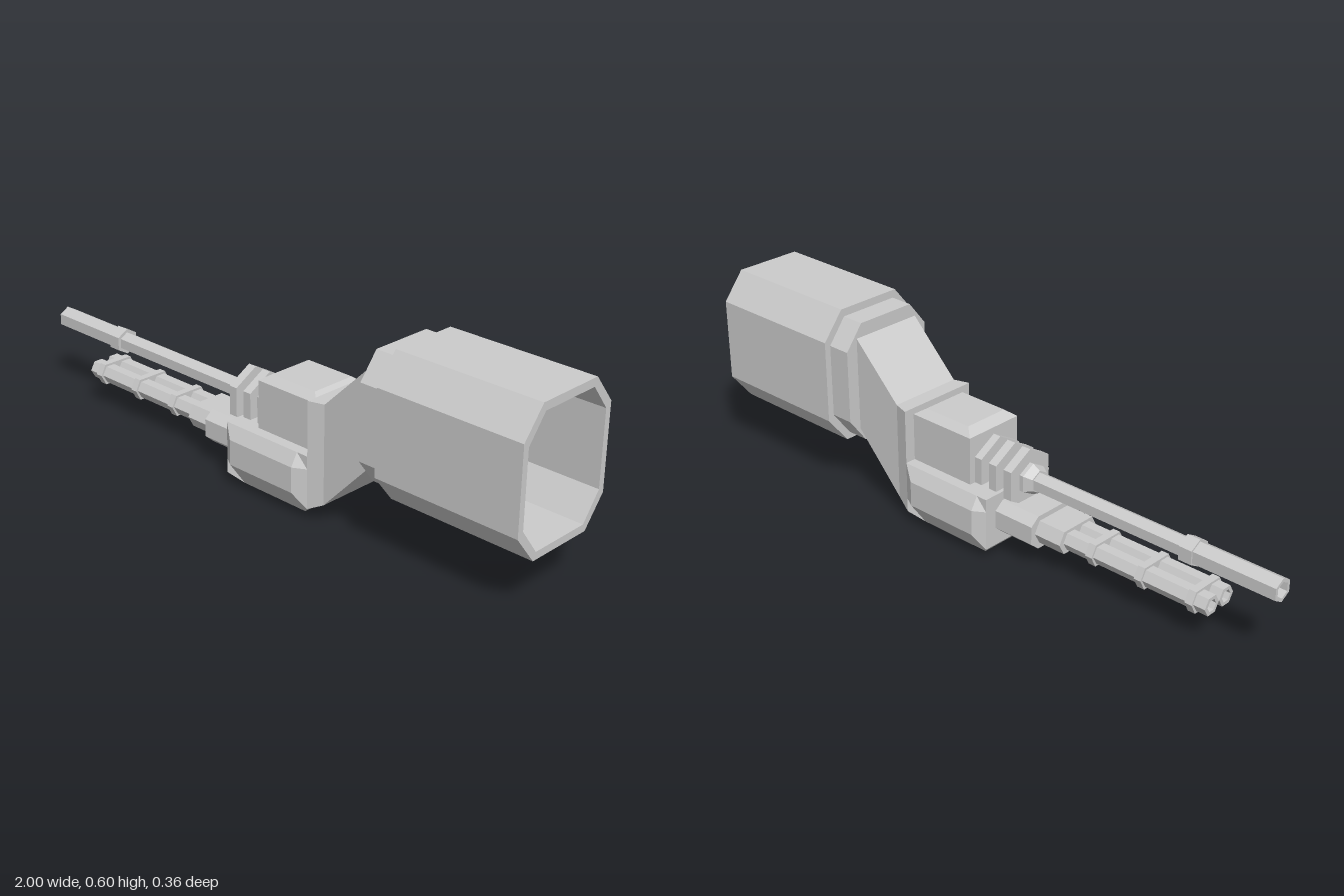
import * as THREE from 'three';

const solid = new THREE.MeshStandardMaterial({ color: 0xcccccc, flatShading: true });
const thin = new THREE.MeshStandardMaterial({ color: 0xcccccc, flatShading: true, side: THREE.DoubleSide });

// Mirrors the +z half of a cross-section, given as [z, y] from bottom to top
const sym = (half) => [...half, ...half.map(([z, y]) => [-z, y]).reverse()];

// Octagonal cross-section: half width, corner width, and four heights
const oct = (w, c, y0, y1, y2, y3) => sym([[c, y0], [w, y1], [w, y2], [c, y3]]);

// Elongated hexagon with its points to the sides
const wideHex = (w, c, h, cy) => sym([[c, cy - h], [w, cy], [c, cy + h]]);

// Regular hexagon; start is the angle of its first corner
function hex(r, cy, cz = 0, start = -Math.PI / 2) {
  return Array.from({ length: 6 }, (_, i) => {
    const a = start + (i * Math.PI) / 3;
    return [cz + r * Math.cos(a), cy + r * Math.sin(a)];
  });
}

// Skins a row of [x, section] pairs along x, closing the ends asked for
function loft(rows, capStart = true, capEnd = true) {
  const pos = [];
  const put = (row, i) => {
    const p = row[1][i % row[1].length];
    pos.push(row[0], p[1], p[0]);
  };
  const n = rows[0][1].length;
  for (let k = 0; k < rows.length - 1; k++) {
    const a = rows[k], b = rows[k + 1];
    for (let i = 0; i < n; i++) {
      put(a, i); put(b, i); put(a, i + 1);
      put(b, i); put(b, i + 1); put(a, i + 1);
    }
  }
  const first = rows[0], last = rows[rows.length - 1];
  for (let i = 1; i < n - 1; i++) {
    if (capStart) { put(first, 0); put(first, i); put(first, i + 1); }
    if (capEnd) { put(last, 0); put(last, i + 1); put(last, i); }
  }
  const g = new THREE.BufferGeometry();
  g.setAttribute('position', new THREE.Float32BufferAttribute(pos, 3));
  g.computeVertexNormals();
  return g;
}

const prism = (x0, x1, section) => loft([[x0, section], [x1, section]]);

// Flat outline with an opening, in the z-y plane
function ringShape(outer, inner) {
  const pts = (s) => s.map(([z, y]) => new THREE.Vector2(-z, y)).reverse();
  const shape = new THREE.Shape(pts(outer));
  shape.holes.push(new THREE.Path(pts(inner)));
  return shape;
}

function tube(x0, x1, outer, inner) {
  return new THREE.ExtrudeGeometry(ringShape(outer, inner), { depth: x1 - x0, bevelEnabled: false })
    .rotateY(Math.PI / 2).translate(x0, 0, 0);
}

export function createModel() {
  const model = new THREE.Group();
  const add = (name, geometry, material = solid) => {
    const mesh = new THREE.Mesh(geometry, material);
    mesh.name = name;
    model.add(mesh);
  };

  // Hollow sleeve and the collar behind it
  const outer = oct(0.18, 0.11, 0.167, 0.255, 0.515, 0.602);
  const inner = oct(0.16, 0.1, 0.19, 0.27, 0.5, 0.577);
  const armEnd = sym([[0.12, 0.235], [0.12, 0.533]]);
  add('sleeve', tube(0.53, 1, outer, inner), thin);
  add('collarWall', loft([[0.455, inner], [0.53, inner]], false, false), thin);
  add('collarPlate', new THREE.ShapeGeometry(ringShape(inner, armEnd))
    .rotateY(Math.PI / 2).translate(0.455, 0, 0), thin);

  // Cranked hollow arm, open into the collar
  add('arm', loft([
    [0.24, sym([[0.135, 0.035], [0.135, 0.37]])],
    [0.29, sym([[0.12, 0.06], [0.12, 0.37]])],
    [0.455, armEnd],
  ], true, false), thin);

  // Lower body with chamfered ends
  const bodyEnd = sym([[0.135, 0.035], [0.135, 0.08], [0.135, 0.16], [0.135, 0.2]]);
  const bodyMid = sym([[0.1, 0], [0.158, 0.08], [0.158, 0.16], [0.135, 0.2]]);
  add('lowerBody', loft([[-0.086, bodyEnd], [-0.05, bodyMid], [0.2, bodyMid], [0.24, bodyEnd]]));

  // Upper housing with a chamfered top
  const boxEnd = sym([[0.1, 0.19], [0.1, 0.35], [0.1, 0.35]]);
  const boxMid = sym([[0.1, 0.19], [0.1, 0.35], [0.075, 0.37]]);
  add('upperHousing', loft([[0.01, boxEnd], [0.04, boxMid], [0.21, boxMid], [0.24, boxEnd]]));

  // Upper barrel: root, cooling fins, tube, band and hollow muzzle
  const cy = 0.237;
  add('upperBarrelRoot', loft([
    [-0.17, hex(0.036, cy)], [-0.145, hex(0.05, cy)], [0.02, hex(0.05, cy)],
  ]));
  for (let i = 0; i < 3; i++) {
    const x = -0.132 + i * 0.058;
    add('coolingFin', prism(x, x + 0.029, hex(0.092, cy)));
  }
  add('upperBarrel', prism(-0.71, -0.15, hex(0.031, cy)));
  add('upperBarrelBand', prism(-0.737, -0.695, hex(0.042, cy)));
  add('upperMuzzle', tube(-1, -0.72, hex(0.036, cy), hex(0.025, cy)));

  // Lower twin barrels with bands and stepped shroud
  const ly = 0.12;
  for (const z of [-0.032, 0.032]) {
    add('lowerBarrel', tube(-0.81, -0.3, hex(0.031, ly, z, 0), hex(0.019, ly, z, 0)));
    add('lowerBarrelBore', prism(-0.77, -0.31, hex(0.02, ly, z, 0)));
  }
  for (const x of [-0.76, -0.588, -0.415]) {
    add('lowerBarrelBand', prism(x - 0.012, x + 0.012, wideHex(0.07, 0.052, 0.034, ly)));
  }
  add('shroudTip', prism(-0.318, -0.22, wideHex(0.08, 0.06, 0.036, ly)));
  add('shroudBase', prism(-0.225, -0.08, oct(0.095, 0.065, 0.066, 0.092, 0.148, 0.172)));

  return model;
}
